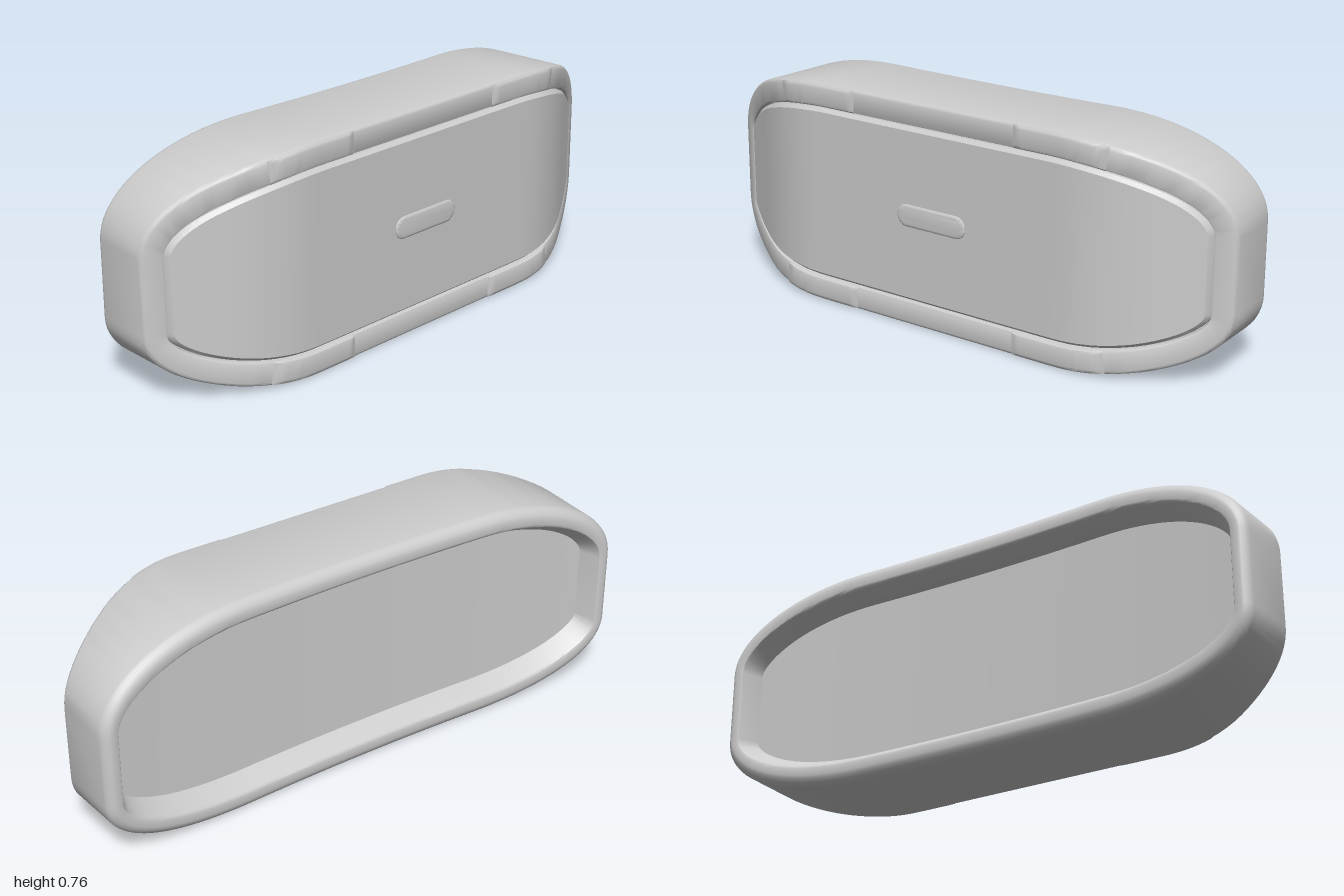
import * as THREE from 'three';
import { toCreasedNormals } from 'three/addons/utils/BufferGeometryUtils.js';

const material = new THREE.MeshStandardMaterial({ color: 0xcccccc });

// Depth of the front face: flat in the middle, swept back towards the ends
function front(x) {
  const a = Math.abs(x), slope = 0.557;
  if (a < 0.5) return 0.205;
  if (a < 0.8) return 0.205 - slope * (a - 0.5) ** 2 / 0.6;
  return 0.205 - slope * (a - 0.65);
}

// Depth of the gently hollow back face
const back = (x) => -0.165 - 0.05 * x * x;

// Corner curves from the straight edge to the upright end; the lower one is fuller
const straight = 0.45;
const cornerCurve = (y2, y3) => new THREE.CubicBezierCurve(
  new THREE.Vector2(straight, 0.38), new THREE.Vector2(0.76, 0.38),
  new THREE.Vector2(1, y2), new THREE.Vector2(1, y3));
const upper = cornerCurve(0.26, 0.1);
const lower = cornerCurve(0.3, 0.145);

function quarter(s, sx, sy) {
  let p = new THREE.Vector2(s, 0.38), n = new THREE.Vector2(0, 1);
  if (s > straight) {
    const t = Math.min(1, (s - straight) / (1 - straight));
    const curve = sy > 0 ? upper : lower;
    const tan = curve.getTangent(t);
    p = curve.getPoint(t);
    n = new THREE.Vector2(-tan.y, tan.x);
  }
  return { x: p.x * sx, y: p.y * sy, nx: n.x * sx, ny: n.y * sy };
}

function arc(sx, sy, from = 0, to = 1, steps = 40) {
  const pts = [];
  for (let i = 0; i <= steps; i++) pts.push(quarter(from + (to - from) * i / steps, sx, sy));
  return sx * sy < 0 ? pts.reverse() : pts; // always clockwise
}

// Outline point moved inwards by d
function inset(p, d, zAt) {
  const x = p.x - p.nx * d * 0.8;
  const z = zAt(x);
  return [x * (1 + 0.07 * Math.min(0, z)), p.y - p.ny * d, z];
}

// Surface through equal-length rows of points
function grid(rows) {
  const n = rows[0].length, index = [];
  for (let i = 0; i < rows.length - 1; i++) {
    for (let j = 0; j < n - 1; j++) {
      const a = i * n + j, b = a + 1, c = a + n, d = c + 1;
      index.push(a, b, c, b, d, c);
    }
  }
  const geo = new THREE.BufferGeometry();
  geo.setAttribute('position', new THREE.Float32BufferAttribute(rows.flat(2), 3));
  geo.setIndex(index);
  return toCreasedNormals(geo, 0.6);
}

// Sweep a section of [inset, base depth, depth offset] along outline points
const sweep = (pts, section) =>
  grid(pts.map((p) => section.map(([d, base, dz]) => inset(p, d, (x) => base(x) + dz))));

const top = [...arc(-1, 1), ...arc(1, 1).slice(1)];
const bottom = [...arc(1, -1), ...arc(-1, -1).slice(1)];

// Plate filling the inset outline, made of upright strips
function plate(d, zAt, facesBack) {
  const lowerEdge = [...bottom].reverse();
  return grid(top.map((p, i) => {
    const row = [inset(p, d, zAt), inset(lowerEdge[i], d, zAt)];
    return facesBack ? row.reverse() : row;
  }));
}

export function createModel() {
  const group = new THREE.Group();
  const body = new THREE.Group();
  body.position.y = 0.381;
  group.add(body);
  const add = (name, geo) => {
    const mesh = new THREE.Mesh(geo, material);
    mesh.name = name;
    body.add(mesh);
    return mesh;
  };

  const loop = [...top, ...bottom, top[0]];

  // Housing ring, from the inner back wall round to the front groove
  add('housing', sweep(loop, [
    [0.105, back, 0.07], [0.07, back, 0.008], [0.065, back, 0.002], [0.058, back, 0],
    [0.034, back, 0], [0.024, back, 0.003], [0.012, back, 0.011], [0.003, back, 0.021], [0, back, 0.032],
    [0, front, -0.014], [0.002, front, -0.007], [0.006, front, -0.002], [0.012, front, 0],
    [0.072, front, 0], [0.078, front, -0.003], [0.081, front, -0.01], [0.082, front, -0.03], [0.092, front, -0.03],
  ]));

  // Front panel with its chamfered rim
  add('panelRim', sweep(loop, [
    [0.086, front, -0.032], [0.086, front, -0.01], [0.097, front, 0.003],
  ]));
  add('frontPanel', plate(0.097, (x) => front(x) + 0.003, false));
  add('backPanel', plate(0.105, (x) => back(x) + 0.07, true));

  // Four slightly raised pads on the ring, easing out at both ends
  const padSection = [[0.002, -0.012], [0.004, 0.001], [0.008, 0.005], [0.016, 0.007],
    [0.066, 0.007], [0.075, 0.004], [0.08, -0.004], [0.081, -0.03]];
  for (const sx of [1, -1]) {
    for (const sy of [1, -1]) {
      const pts = arc(sx, sy, 0.32, 0.58, 24);
      add('pad', grid(pts.map((p, i) => {
        const lift = Math.min(1, Math.min(i, pts.length - 1 - i) / 2);
        return padSection.map(([d, dz]) =>
          inset(p, d, (x) => front(x) + (dz > 0 ? dz * lift : dz)));
      })));
    }
  }

  // Small pill-shaped button in the middle
  const pill = new THREE.Shape();
  pill.absarc(0.1, 0, 0.025, -Math.PI / 2, Math.PI / 2);
  pill.absarc(-0.1, 0, 0.025, Math.PI / 2, Math.PI * 1.5);
  const button = new THREE.ExtrudeGeometry(pill, {
    depth: 0.008, bevelThickness: 0.006, bevelSize: 0.013, bevelSegments: 5, curveSegments: 16,
  });
  add('button', toCreasedNormals(button, 0.7)).position.z = 0.2;

  return group;
}
